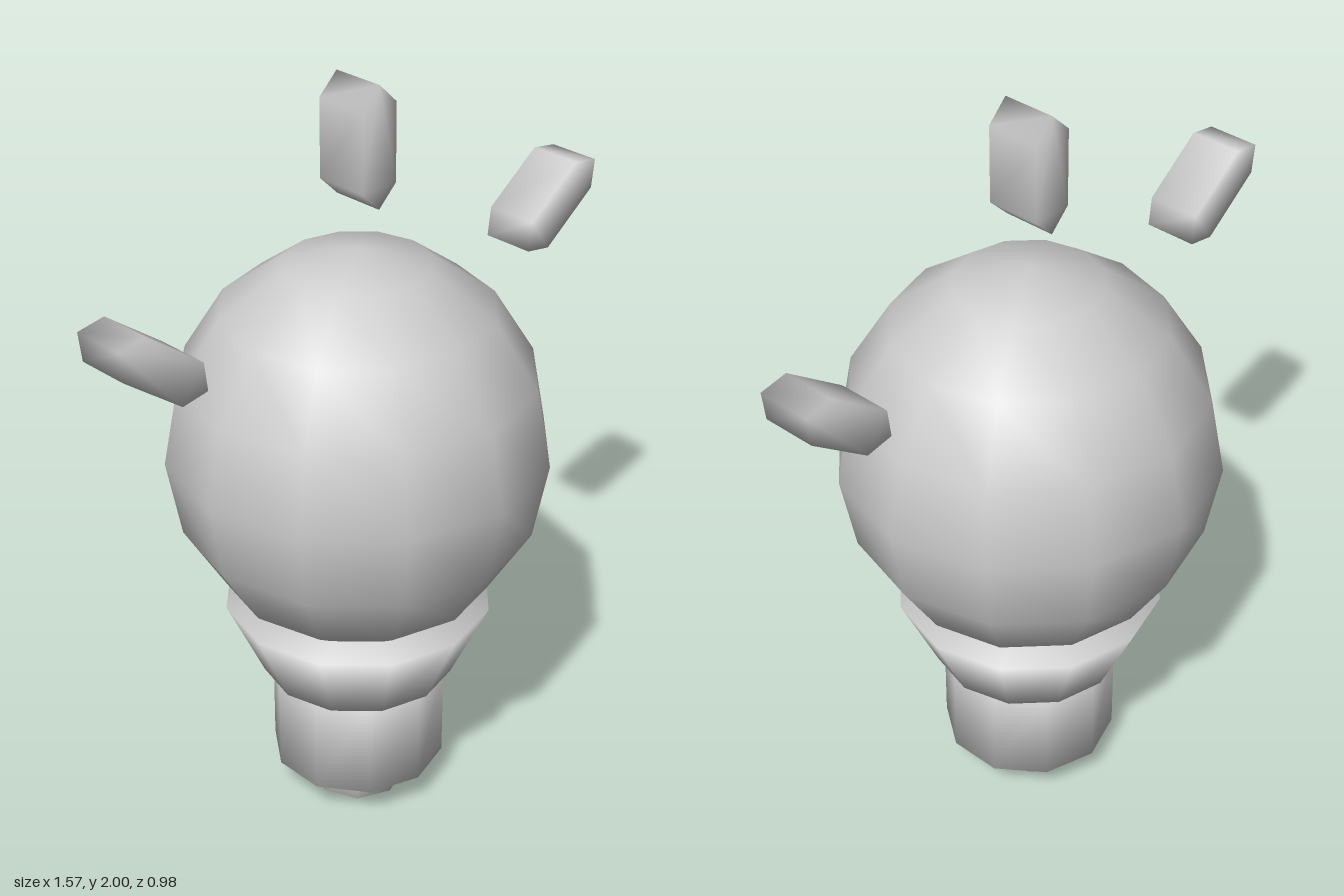
import * as THREE from 'three';
import { mergeVertices } from 'three/addons/utils/BufferGeometryUtils.js';

// Weld all corners so the shading is smooth over the whole part
function smooth(geometry) {
  geometry.deleteAttribute('uv');
  geometry.deleteAttribute('normal');
  const welded = mergeVertices(geometry, 1e-4);
  welded.computeVertexNormals();
  return welded;
}

export function createModel() {
  const model = new THREE.Group();
  model.name = 'lightBulb';
  const grey = new THREE.MeshStandardMaterial({ color: 0xcccccc });
  grey.name = 'light grey';

  function add(name, geometry, x, y) {
    const mesh = new THREE.Mesh(smooth(geometry), grey);
    mesh.name = name;
    mesh.position.set(x, y, 0);
    model.add(mesh);
    return mesh;
  }

  // Stacked frustums: foot contact, screw base and flared collar
  const sections = [
    ['contactTip', 0.07, 0.125, 0, 0.105, 8],
    ['screwBase', 0.23, 0.23, 0.105, 0.385, 10],
    ['collar', 0.35, 0.253, 0.385, 0.597, 12],
  ];
  for (const [name, top, bottom, y0, y1, sides] of sections) {
    add(name, new THREE.CylinderGeometry(top, bottom, y1 - y0, sides), 0, (y0 + y1) / 2);
  }

  // Glass globe, slightly taller than wide
  add('globe', new THREE.SphereGeometry(0.49, 12, 8).scale(1, 0.53 / 0.49, 1), 0, 1.045);

  // Light rays: elongated hexagonal bars fanned around the globe
  const outline = new THREE.Shape(
    [[0, 0.153], [-0.055, 0.1], [-0.055, -0.1], [0, -0.153], [0.055, -0.1], [0.055, 0.1]]
      .map(([x, y]) => new THREE.Vector2(x, y))
  );
  const rays = [
    ['topRay', 0, 1.847, 0],
    ['leftRay', 0.66, 1.507, -0.93],
    ['rightRay', -0.66, 1.507, 0.93],
  ];
  for (const [name, x, y, turn] of rays) {
    const bar = new THREE.ExtrudeGeometry(outline, { depth: 0.142, bevelEnabled: false });
    add(name, bar.translate(0, 0, -0.071), x, y).rotation.z = turn;
  }

  return model;
}
